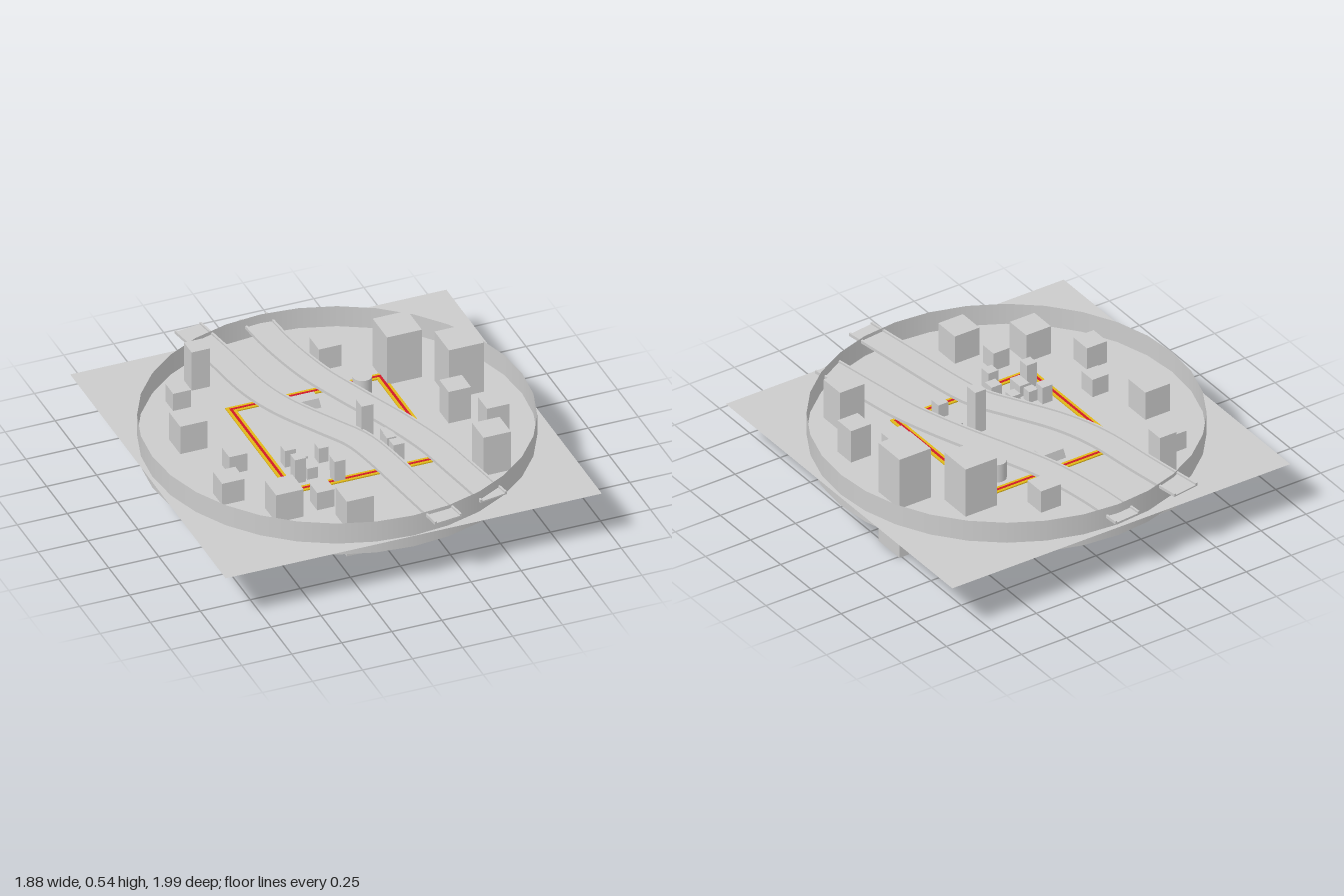
import * as THREE from 'three';

const GROUND = 0.27;
const grey = new THREE.MeshStandardMaterial({ color: 0xcccccc });
const greyDouble = new THREE.MeshStandardMaterial({ color: 0xcccccc, side: THREE.DoubleSide });
const yellow = new THREE.MeshStandardMaterial({ color: 0xe0b818 });
const red = new THREE.MeshStandardMaterial({ color: 0xd01828 });

function add(parent, name, geometry, material, x = 0, y = 0, z = 0) {
  const mesh = new THREE.Mesh(geometry, material);
  mesh.name = name;
  mesh.position.set(x, y, z);
  parent.add(mesh);
  return mesh;
}

// Block standing between heights y0 and y1
function block(parent, name, x, z, w, d, y0, y1) {
  add(parent, name, new THREE.BoxGeometry(w, y1 - y0, d), grey, x, (y0 + y1) / 2, z);
}

// Rectangular bar swept along a flat curve, offset sideways from s0 to s1
function sweepBar(curve, s0, s1, y0, y1, steps = 40) {
  const profile = [[s0, y0], [s1, y0], [s1, y1], [s0, y1]];
  const rings = [];
  for (let i = 0; i <= steps; i++) {
    const p = curve.getPointAt(i / steps);
    const t = curve.getTangentAt(i / steps);
    rings.push(profile.map(([s, y]) => [p.x + t.y * s, y, p.y - t.x * s]));
  }
  const pos = [];
  const quad = (a, b, c, d) => pos.push(...a, ...b, ...c, ...a, ...c, ...d);
  for (let i = 0; i < steps; i++) {
    for (let k = 0; k < 4; k++) {
      const n = (k + 1) % 4;
      quad(rings[i][k], rings[i][n], rings[i + 1][n], rings[i + 1][k]);
    }
  }
  quad(...rings[steps]);
  quad(...[...rings[0]].reverse());
  const geo = new THREE.BufferGeometry();
  geo.setAttribute('position', new THREE.Float32BufferAttribute(pos, 3));
  geo.computeVertexNormals();
  return geo;
}

// Elevated road: thin deck with a curb on each side
function road(parent, name, points, y) {
  const curve = new THREE.SplineCurve(points.map(([x, z]) => new THREE.Vector2(x, z)));
  const group = new THREE.Group();
  group.name = name;
  const half = 0.072, curb = 0.01;
  add(group, 'roadDeck', sweepBar(curve, -half + curb, half - curb, y, y + 0.007), grey);
  add(group, 'roadCurbRight', sweepBar(curve, -half, -half + curb, y, y + 0.016), grey);
  add(group, 'roadCurbLeft', sweepBar(curve, half - curb, half, y, y + 0.016), grey);
  parent.add(group);
}

// Square border strip, its outer edge pulled in by 'inset'
function border(parent, name, inset, width, height, material) {
  const square = (Type, h) => new Type([[-h, -h], [h, -h], [h, h], [-h, h]].map(p => new THREE.Vector2(...p)));
  const h = 0.392 - inset;
  const shape = square(THREE.Shape, h);
  shape.holes.push(square(THREE.Path, h - width));
  const geo = new THREE.ExtrudeGeometry(shape, { depth: height, bevelEnabled: false }).rotateX(-Math.PI / 2);
  add(parent, name, geo, material, -0.005, GROUND + 0.001, -0.012);
}

export function createModel() {
  const model = new THREE.Group();
  model.name = 'cityDiorama';

  // Ground sheet and round surrounding wall
  add(model, 'ground', new THREE.PlaneGeometry(1.88, 1.875).rotateX(-Math.PI / 2), greyDouble, -0.005, GROUND, -0.014);
  add(model, 'ringWall', new THREE.CylinderGeometry(0.924, 0.924, 0.17, 32, 1, true), greyDouble, -0.003, 0.295, -0.005);

  // Coloured square border
  border(model, 'borderOuter', 0, 0.014, 0.006, yellow);
  border(model, 'borderMiddle', 0.014, 0.013, 0.007, red);
  border(model, 'borderInner', 0.027, 0.014, 0.006, yellow);

  // Outer buildings: x, z, width, height, all centred on the ground sheet
  const outer = [
    [-0.434, -0.655, 0.092, 0.42], [-0.58, -0.526, 0.09, 0.19], [-0.666, -0.2, 0.137, 0.3],
    [-0.547, 0.071, 0.09, 0.19], [-0.666, 0.288, 0.112, 0.235], [-0.48, 0.508, 0.137, 0.3],
    [-0.29, 0.508, 0.087, 0.19], [-0.2, 0.683, 0.137, 0.3], [0.183, -0.595, 0.112, 0.235],
    [0.46, -0.397, 0.174, 0.52], [0.676, -0.172, 0.174, 0.54], [0.566, 0.046, 0.112, 0.345],
    [0.675, 0.246, 0.112, 0.345], [0.556, 0.508, 0.137, 0.42],
  ];
  for (const [x, z, w, h] of outer) block(model, 'outerBuilding', x, z, w, w, GROUND - h / 2, GROUND + h / 2);

  // Small inner buildings: x, z, width, depth, bottom, top
  const inner = [
    [-0.305, 0.132, 0.055, 0.055, 0.19, 0.36], [-0.256, 0.172, 0.048, 0.048, 0.21, 0.33],
    [-0.25, 0.254, 0.053, 0.083, 0.21, 0.33], [-0.315, 0.278, 0.056, 0.056, 0.165, 0.4],
    [-0.15, 0.16, 0.048, 0.052, 0.21, 0.35], [-0.12, 0.278, 0.056, 0.056, 0.19, 0.35],
    [-0.143, 0.34, 0.055, 0.056, 0.155, 0.385], [0.09, 0.105, 0.06, 0.068, 0.19, 0.495],
    [0.19, 0.127, 0.048, 0.045, 0.21, 0.33], [0.187, 0.172, 0.048, 0.048, 0.21, 0.33],
    [0.177, 0.278, 0.055, 0.056, 0.19, 0.36],
  ];
  for (const b of inner) block(model, 'innerBuilding', ...b);

  // Round tower
  add(model, 'roundTower', new THREE.CylinderGeometry(0.045, 0.045, 0.16, 24), grey, 0.24, 0.285, -0.288);

  // Low hall: box with its top pulled in
  const hall = new THREE.BoxGeometry(0.14, 0.06, 0.086).toNonIndexed();
  const p = hall.attributes.position;
  for (let i = 0; i < p.count; i++) {
    if (p.getY(i) > 0) p.setXYZ(i, p.getX(i) * 0.84, p.getY(i), p.getZ(i) * 0.72);
  }
  hall.computeVertexNormals();
  add(model, 'lowHall', hall, grey, -0.049, 0.288, -0.288);

  // Two curving elevated roads
  road(model, 'upperRoad', [
    [-0.345, -0.98], [-0.3, -0.69], [-0.26, -0.4], [-0.19, -0.185], [-0.07, 0.037],
    [0.016, 0.196], [0.058, 0.376], [0.1, 0.677], [0.143, 0.985],
  ], 0.354);
  road(model, 'lowerRoad', [
    [-0.015, -0.988], [0.006, -0.74], [0.06, -0.46], [0.143, -0.22],
    [0.25, 0.053], [0.333, 0.317], [0.38, 0.58], [0.425, 0.85],
  ], 0.325);

  return model;
}
